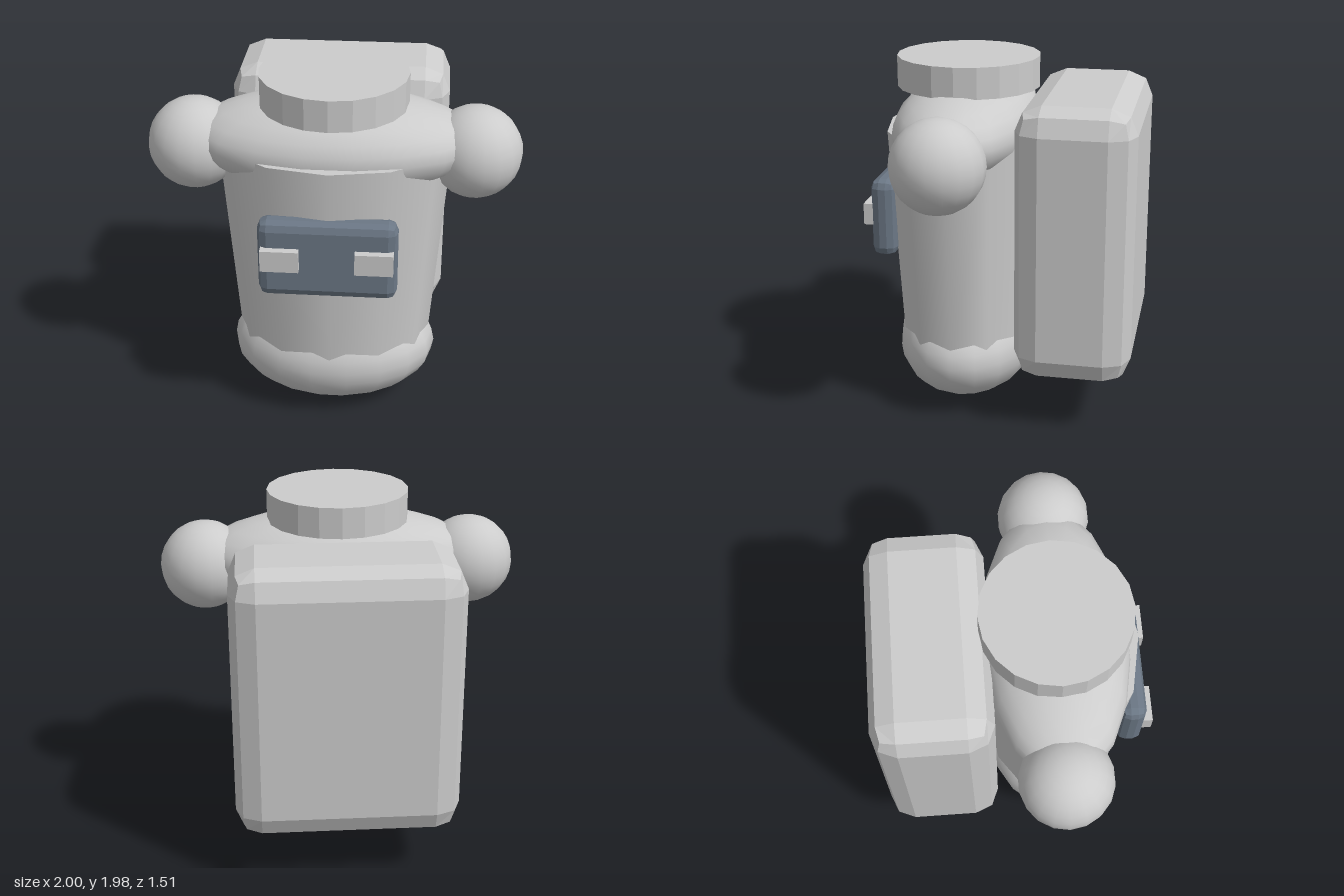
import * as THREE from 'three';
import { RoundedBoxGeometry } from 'three/addons/geometries/RoundedBoxGeometry.js';

const CENTER_Z = 0.23; // depth axis of the body

export function createModel() {
  const group = new THREE.Group();
  const suit = new THREE.MeshStandardMaterial({ color: 0xcccccc });
  suit.name = 'suitGrey';
  const slate = new THREE.MeshStandardMaterial({ color: 0x6b7785 });
  slate.name = 'slateBlue';

  const add = (name, geometry, material, x, y, z) => {
    const mesh = new THREE.Mesh(geometry, material);
    mesh.name = name;
    mesh.position.set(x, y, z);
    group.add(mesh);
    return mesh;
  };
  const ellipsoid = (rx, ry, rz) => new THREE.SphereGeometry(1, 18, 14).scale(rx, ry, rz);
  // box with faceted, two-step bevels
  const bevelBox = (w, h, d, r) => {
    const g = new RoundedBoxGeometry(w, h, d, 1, r);
    g.computeVertexNormals();
    return g;
  };
  const flat = (geometry) => {
    const g = geometry.toNonIndexed();
    g.computeVertexNormals();
    return g;
  };

  // tapered oval torso, with rounded shoulders and hips
  add('torso', new THREE.CylinderGeometry(0.63, 0.535, 1.25, 12).scale(1, 1, 0.7), suit, 0, 0.975, CENTER_Z);
  add('shoulders', ellipsoid(0.775, 0.26, 0.39), suit, 0, 1.6, CENTER_Z);
  add('hips', ellipsoid(0.575, 0.325, 0.4), suit, 0, 0.33, CENTER_Z);

  // neck ring
  add('neckRing', flat(new THREE.CylinderGeometry(0.395, 0.395, 0.17, 20)), suit, 0, 1.895, 0.225);

  // shoulder joints
  for (const side of [1, -1]) {
    add(side > 0 ? 'leftShoulderBall' : 'rightShoulderBall', ellipsoid(0.25, 0.25, 0.25), suit, side * 0.75, 1.55, CENTER_Z - 0.002);
  }

  // backpack
  add('backpack', bevelBox(1.22, 1.52, 0.64, 0.14), suit, 0, 1.06, -0.435);

  // chest control panel with two buttons
  add('chestPanel', bevelBox(0.73, 0.44, 0.14, 0.05), slate, 0, 1.11, 0.645);
  for (const side of [1, -1]) {
    add(side > 0 ? 'leftButton' : 'rightButton', new THREE.BoxGeometry(0.2, 0.12, 0.08), suit, side * 0.245, 1.13, 0.715);
  }
  return group;
}
